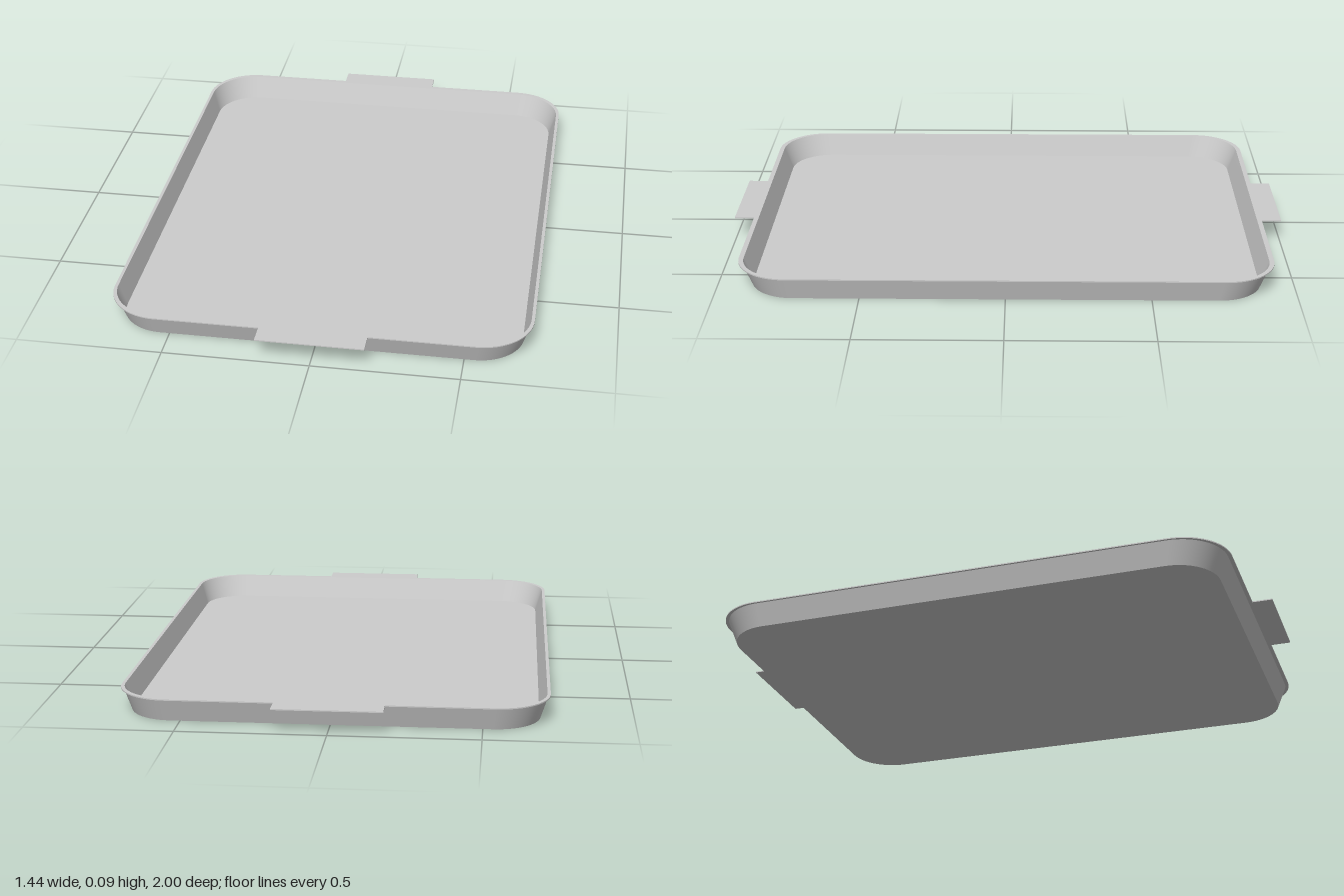
import * as THREE from 'three';

const metal = new THREE.MeshStandardMaterial({ color: 0xcccccc });
const CORNER_STEPS = 16;

// Rounded rectangle loop: half width hx, half depth hz, corner radius r, height y
function ring([hx, hz, r, y]) {
  const points = [];
  const corners = [[1, 1], [-1, 1], [-1, -1], [1, -1]];
  corners.forEach(([sx, sz], c) => {
    for (let i = 0; i <= CORNER_STEPS; i++) {
      const a = (c + i / CORNER_STEPS) * Math.PI / 2;
      points.push([sx * (hx - r) + r * Math.cos(a), y, sz * (hz - r) + r * Math.sin(a)]);
    }
  });
  return points;
}

// Surface joining two loops, smooth around the corners and sharp at both edges
function band(name, from, to) {
  const a = ring(from), b = ring(to), n = a.length, index = [];
  for (let i = 0; i < n; i++) {
    const j = (i + 1) % n;
    index.push(i, n + i, j, j, n + i, n + j);
  }
  const geometry = new THREE.BufferGeometry();
  geometry.setAttribute('position', new THREE.Float32BufferAttribute([...a, ...b].flat(), 3));
  geometry.setIndex(index);
  geometry.computeVertexNormals();
  const mesh = new THREE.Mesh(geometry, metal);
  mesh.name = name;
  return mesh;
}

export function createModel() {
  const tray = new THREE.Group();
  tray.name = 'tray';

  // Cross-section from the underside centre, up the wall, over the rim, down to the floor
  const profile = [
    [0, 0, 0, 0],
    [0.689, 0.885, 0.155, 0],
    [0.714, 0.916, 0.172, 0.081],
    [0.721, 0.929, 0.18, 0.081],
    [0.721, 0.929, 0.18, 0.085],
    [0.71, 0.912, 0.168, 0.085],
    [0.685, 0.88, 0.15, 0.004],
    [0, 0, 0, 0.004],
  ];
  const names = ['underside', 'outerWall', 'rimUnderside', 'rimEdge', 'rimTop', 'innerWall', 'floor'];
  names.forEach((name, i) => tray.add(band(name, profile[i], profile[i + 1])));

  // Flat handle tabs at both short ends
  for (const [side, name] of [[1, 'frontHandle'], [-1, 'backHandle']]) {
    const handle = new THREE.Mesh(new THREE.BoxGeometry(0.366, 0.004, 0.072), metal);
    handle.position.set(0, 0.083, side * 0.964);
    handle.name = name;
    tray.add(handle);
  }
  return tray;
}
